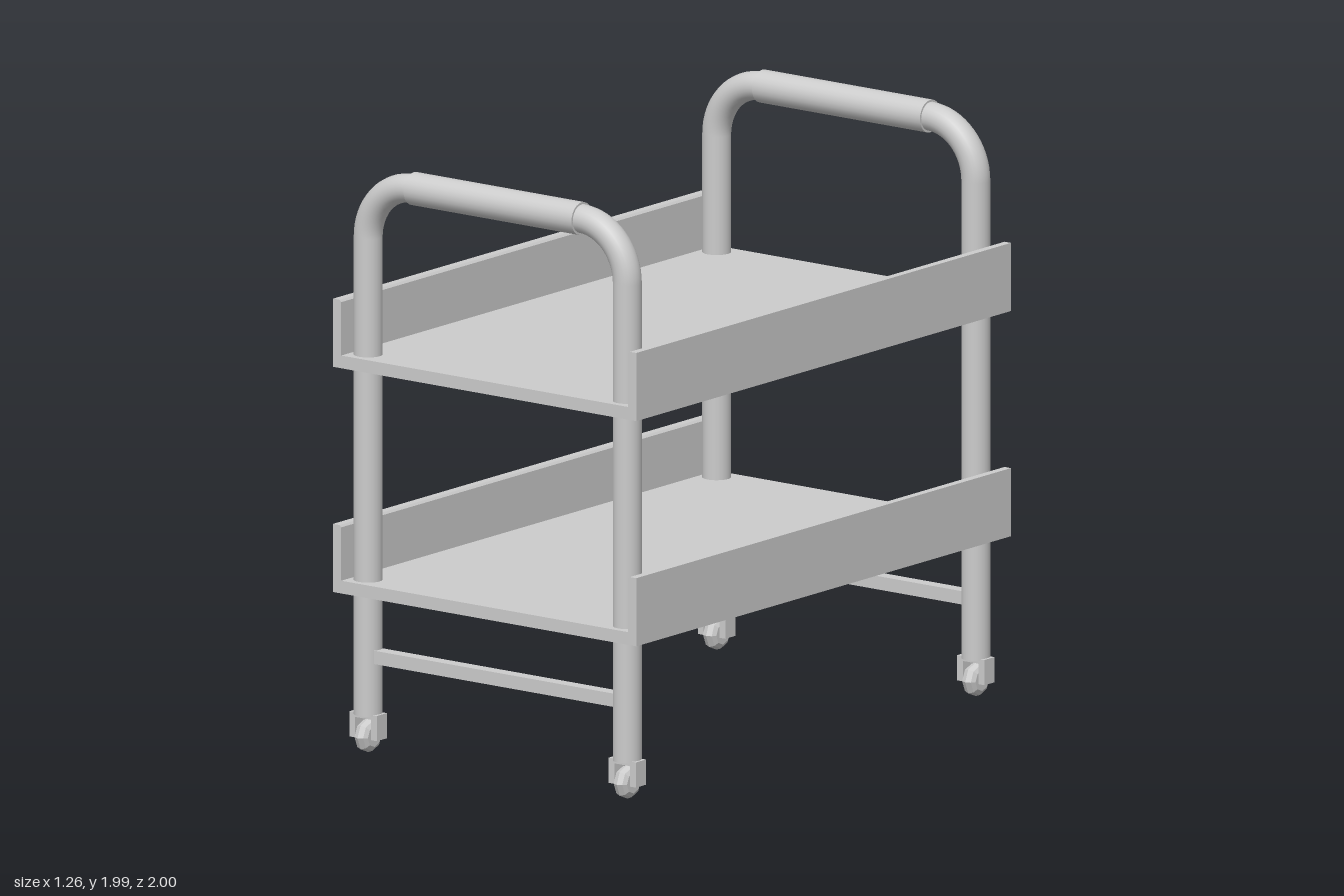
import * as THREE from 'three';

const grey = new THREE.MeshStandardMaterial({ color: 0xcccccc });
const faceted = new THREE.MeshStandardMaterial({ color: 0xcccccc, flatShading: true });

const LEG_X = 0.54, FRAME_Z = 0.93, TUBE_R = 0.048;
const BEND_R = 0.19, BEND_Y = 1.74, LEG_BOTTOM = 0.13;

function add(parent, name, geometry, x = 0, y = 0, z = 0, material = grey) {
  const mesh = new THREE.Mesh(geometry, material);
  mesh.name = name;
  mesh.position.set(x, y, z);
  parent.add(mesh);
  return mesh;
}

const box = (w, h, d) => new THREE.BoxGeometry(w, h, d);

// Fork and rounded eight-sided wheel, rolling along z
function createCaster() {
  const caster = new THREE.Group();
  caster.name = 'caster';
  add(caster, 'forkTop', box(0.114, 0.016, 0.054), 0, 0.127, 0);
  for (const s of [-1, 1]) add(caster, 'forkArm', box(0.024, 0.085, 0.054), s * 0.045, 0.0925, 0);
  const profile = [[0, -0.027], [0.036, -0.027], [0.05, -0.018], [0.057, 0], [0.05, 0.018], [0.036, 0.027], [0, 0.027]]
    .map(([r, h]) => new THREE.Vector2(r, h));
  const wheel = new THREE.LatheGeometry(profile, 8).rotateZ(Math.PI / 2);
  add(caster, 'wheel', wheel, 0, 0.057, 0, faceted);
  add(caster, 'axle', new THREE.CylinderGeometry(0.012, 0.012, 0.08, 8).rotateZ(Math.PI / 2), 0, 0.062, 0);
  return caster;
}

// Bent tube hoop with a grip, a low crossbar and two casters
function createEndFrame() {
  const frame = new THREE.Group();
  frame.name = 'endFrame';
  const legHeight = BEND_Y - LEG_BOTTOM;
  for (const s of [-1, 1]) {
    add(frame, 'leg', new THREE.CylinderGeometry(TUBE_R, TUBE_R, legHeight, 24), s * LEG_X, LEG_BOTTOM + legHeight / 2, 0);
    const bend = add(frame, 'bend', new THREE.TorusGeometry(BEND_R, TUBE_R, 24, 16, Math.PI / 2), s * (LEG_X - BEND_R), BEND_Y, 0);
    if (s < 0) bend.rotation.y = Math.PI;
    const caster = createCaster();
    caster.position.x = s * LEG_X;
    frame.add(caster);
  }
  const grip = new THREE.CylinderGeometry(0.055, 0.055, 0.7, 24).rotateZ(Math.PI / 2);
  add(frame, 'grip', grip, 0, BEND_Y + BEND_R, 0);
  add(frame, 'crossbar', box(1.0, 0.045, 0.045), 0, 0.33, 0);
  return frame;
}

// Flat shelf with a raised wall along each long side
function createTray() {
  const tray = new THREE.Group();
  tray.name = 'tray';
  add(tray, 'trayFloor', box(1.2, 0.043, 2), 0, 0.0215, 0);
  const section = new THREE.Shape();
  section.moveTo(-0.017, 0);
  section.lineTo(0.017, 0);
  section.lineTo(0.017, 0.23);
  section.lineTo(-0.01, 0.23);
  section.lineTo(-0.017, 0.223);
  section.closePath();
  const wall = new THREE.ExtrudeGeometry(section, { depth: 2, bevelEnabled: false }).translate(0, 0, -1);
  for (const s of [-1, 1]) {
    const side = add(tray, 'trayWall', wall, s * 0.615, 0, 0);
    if (s < 0) side.rotation.y = Math.PI;
  }
  return tray;
}

export function createModel() {
  const cart = new THREE.Group();
  cart.name = 'serviceCart';
  for (const s of [-1, 1]) {
    const frame = createEndFrame();
    frame.position.z = s * FRAME_Z;
    cart.add(frame);
  }
  for (const y of [0.54, 1.3]) {
    const tray = createTray();
    tray.position.y = y;
    cart.add(tray);
  }
  return cart;
}
